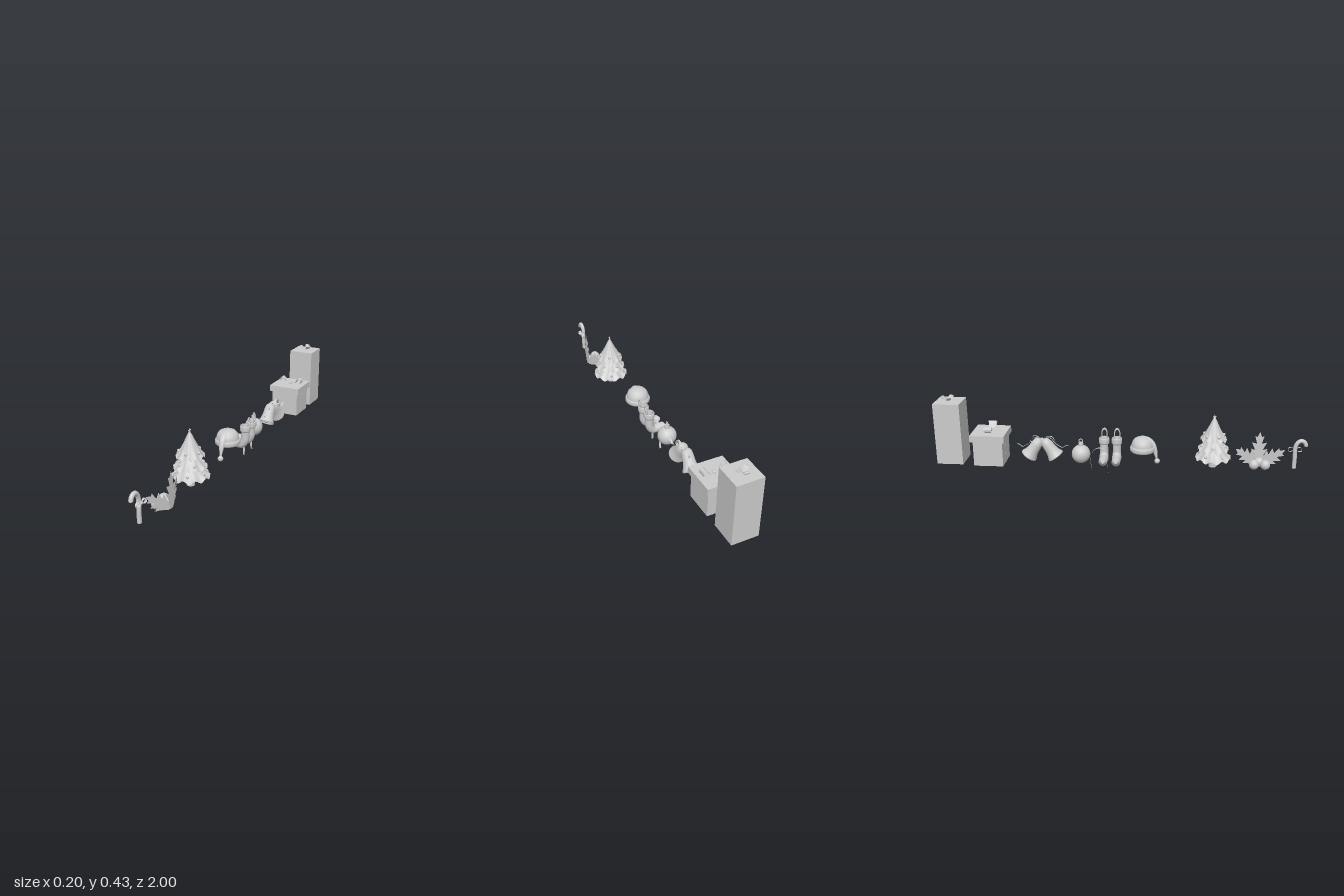
import * as THREE from 'three';

const V = (x, y, z) => new THREE.Vector3(x, y, z);
const mat = new THREE.MeshStandardMaterial({ color: 0xcccccc, side: THREE.DoubleSide });

function add(parent, name, geo, pos = [0, 0, 0], rot = [0, 0, 0]) {
  const m = new THREE.Mesh(geo, mat);
  m.name = name;
  m.position.set(...pos);
  m.rotation.set(...rot);
  parent.add(m);
  return m;
}
function group(parent, name, pos = [0, 0, 0], rot = [0, 0, 0]) {
  const g = new THREE.Group();
  g.name = name;
  g.position.set(...pos);
  g.rotation.set(...rot);
  parent.add(g);
  return g;
}
const ball = (r) => new THREE.SphereGeometry(r, 24, 16);
const box = (x, y, z) => new THREE.BoxGeometry(x, y, z);
const lathe = (pts, n = 40) => new THREE.LatheGeometry(pts.map(p => new THREE.Vector2(...p)), n);

// Round sweep along a curve whose radius follows a list of values
function loft(pts, radii, seg = 40, sides = 20) {
  const curve = new THREE.CatmullRomCurve3(pts.map(p => V(...p)));
  const geo = new THREE.TubeGeometry(curve, seg, 1, sides);
  const pos = geo.attributes.position, p = V(0, 0, 0);
  for (let i = 0; i < pos.count; i++) {
    const u = Math.floor(i / (sides + 1)) / seg;
    const k = curve.getUtoTmapping(u) * (radii.length - 1);
    const a = Math.min(Math.floor(k), radii.length - 2);
    const r = THREE.MathUtils.lerp(radii[a], radii[a + 1], k - a);
    const c = curve.getPointAt(u);
    p.fromBufferAttribute(pos, i).sub(c).multiplyScalar(r).add(c);
    pos.setXYZ(i, p.x, p.y, p.z);
  }
  return geo;
}

// Flat ribbon: a curve in the xy plane, given width along z; pinch narrows both ends
function ribbon(pts, width, pinch = 0, seg = 30) {
  const curve = new THREE.CatmullRomCurve3(pts.map(p => V(p[0], p[1], 0)));
  const geo = new THREE.PlaneGeometry(1, 1, seg, 1);
  const pos = geo.attributes.position;
  for (let i = 0; i < pos.count; i++) {
    const t = pos.getX(i) + 0.5, c = curve.getPoint(t);
    const w = width * (1 - pinch * (1 - Math.sin(Math.PI * t)));
    pos.setXYZ(i, c.x, c.y, pos.getY(i) * w);
  }
  geo.computeVertexNormals();
  return geo;
}

function candyCane(root) {
  const g = group(root, 'candyCane', [0, 0, 0.935]);
  add(g, 'caneStick', loft([[0, 0.06, 0], [0, 0.065, 0], [0, 0.12, 0], [0, 0.19, 0], [0, 0.214, 0.014],
    [0, 0.22, 0.03], [0, 0.212, 0.046], [0, 0.193, 0.054], [0, 0.188, 0.054]],
  [0, 0.011, 0.011, 0.011, 0.011, 0.011, 0.011, 0.011, 0], 60));
  for (const s of [1, -1]) {
    add(g, 'caneBowLoop', ribbon([[0, 0], [0.02, 0.013], [0.034, 0.008], [0.034, -0.008], [0.02, -0.01], [0, 0]], 0.014, 0.5),
      [0.014, 0.165, 0], [0, s * Math.PI / 2, 0]);
  }
  add(g, 'caneBowKnot', ball(0.008), [0.014, 0.165, 0]);
}

function holly(root) {
  const g = group(root, 'holly', [0, 0, 0.75]);
  const leaf = (len, half) => {
    const right = [];
    for (let i = 0; i < 4; i++) {
      const w = half * [0.6, 1, 0.9, 0.55][i];
      right.push([w * 0.5, len * (0.06 + i * 0.19)], [w, len * (0.29 + i * 0.19)]);
    }
    const left = right.map(([x, y]) => [-x, y]).reverse();
    return new THREE.ShapeGeometry(new THREE.Shape(
      [[0, 0], ...right, [half * 0.25, len * 0.84], [0, len], [-half * 0.25, len * 0.84], ...left]
        .map(p => new THREE.Vector2(...p))));
  };
  add(g, 'middleLeaf', leaf(0.19, 0.045), [0.05, 0.06, 0], [0, Math.PI / 2, 0]);
  for (const s of [1, -1]) {
    add(g, 'sideLeaf', leaf(0.17, 0.045), [0.05, 0.065, s * 0.005], [0, Math.PI / 2 - s * 0.38, s * 0.93]);
  }
  for (const [x, y, z] of [[-0.012, 0.083, -0.03], [-0.012, 0.083, 0.03], [0.02, 0.085, 0]]) {
    add(g, 'berry', ball(0.027), [x, y, z]);
  }
}

function tree(root) {
  const g = group(root, 'tree', [0, 0, 0.5]);
  add(g, 'trunk', new THREE.CylinderGeometry(0.021, 0.021, 0.09, 20), [0, 0.107, 0]);
  // Flared tiers [bottom, top, radius] with a scalloped hem
  [[0.114, 0.215, 0.096], [0.163, 0.265, 0.083], [0.218, 0.345, 0.071]].forEach(([y0, y1, r], n) => {
    const h = y1 - y0;
    const geo = lathe([[r, y0], [r * 0.82, y0 + h * 0.13], [r * 0.62, y0 + h * 0.32], [r * 0.4, y0 + h * 0.56],
      [r * 0.18, y0 + h * 0.83], [0.001, y1]], 72);
    const pos = geo.attributes.position;
    for (let i = 0; i < pos.count; i++) {
      const x = pos.getX(i), z = pos.getZ(i), f = Math.hypot(x, z) / r;
      pos.setY(i, pos.getY(i) + 0.008 * f ** 3 * Math.sin(10 * Math.atan2(z, x) + n));
    }
    geo.computeVertexNormals();
    add(g, 'branchTier', geo);
    for (let i = 0; i < 5; i++) {
      const a = i * Math.PI * 0.4 + n * 0.7;
      add(g, 'bauble', ball(0.0085), [Math.cos(a) * r * 0.76, y0 + h * 0.2, Math.sin(a) * r * 0.76]);
    }
  });
  // Five-pointed treetop star
  const star = new THREE.Shape(Array.from({ length: 10 }, (_, i) => {
    const a = Math.PI / 2 + i * Math.PI / 5, r = i % 2 ? 0.005 : 0.012;
    return new THREE.Vector2(Math.cos(a) * r, Math.sin(a) * r);
  }));
  add(g, 'star', new THREE.ExtrudeGeometry(star, { depth: 0.004, bevelEnabled: false }), [-0.002, 0.345, 0], [0, Math.PI / 2, 0]);
}

function hat(root) {
  const g = group(root, 'hat', [0, 0, 0.12]);
  add(g, 'hatCrown', lathe([[0.06, 0.16], [0.06, 0.178], [0.054, 0.197], [0.042, 0.211], [0.024, 0.219], [0.001, 0.222]]));
  add(g, 'hatTail', loft([[0, 0.19, -0.01], [0, 0.192, 0.025], [0, 0.177, 0.048], [0, 0.145, 0.066], [0, 0.095, 0.078]],
    [0.03, 0.028, 0.022, 0.014, 0.005]));
  add(g, 'hatBrim', lathe([[0.054, 0.14], [0.063, 0.14], [0.068, 0.147], [0.068, 0.162], [0.063, 0.17], [0.054, 0.17], [0.054, 0.14]]));
  add(g, 'pompon', ball(0.015), [0, 0.083, 0.08]);
}

function stocking(root, z) {
  const g = group(root, 'stocking', [0, 0, z]);
  add(g, 'boot', loft([[0.032, 0.19, 0], [0.032, 0.15, 0], [0.029, 0.112, 0], [0.012, 0.09, 0],
    [-0.022, 0.087, 0], [-0.05, 0.087, 0], [-0.071, 0.085, 0]], [0.022, 0.022, 0.023, 0.026, 0.023, 0.024, 0]));
  add(g, 'cuff', lathe([[0.019, 0.165], [0.026, 0.165], [0.029, 0.172], [0.029, 0.194], [0.026, 0.2], [0.019, 0.2], [0.019, 0.165]]), [0.032, 0, 0]);
  add(g, 'hangingLoop', new THREE.TorusGeometry(0.015, 0.003, 8, 28), [0.053, 0.213, 0], [0, Math.PI / 2, 0]).scale.set(1, 2, 1);
}

function ornament(root) {
  const g = group(root, 'ornament', [-0.012, 0, -0.215]);
  add(g, 'ornamentBall', ball(0.051), [0, 0.118, 0]);
  add(g, 'ornamentCap', new THREE.CylinderGeometry(0.013, 0.015, 0.02, 20), [0, 0.174, 0]);
  add(g, 'ornamentRing', new THREE.TorusGeometry(0.01, 0.0025, 8, 24), [0, 0.193, 0], [0, Math.PI / 2, 0]);
  // Hanging ribbon tails beside the ball; local +x runs towards -z
  const tails = group(root, 'ornamentRibbon', [0, 0, 0], [0, Math.PI / 2, 0]);
  add(tails, 'ribbonTail', ribbon([[0.068, 0.001], [0.07, 0.05], [0.067, 0.1], [0.085, 0.142], [0.11, 0.15]], 0.011));
  add(tails, 'ribbonTail', ribbon([[0.165, 0.001], [0.158, 0.03], [0.166, 0.07], [0.162, 0.11], [0.135, 0.145], [0.11, 0.15]], 0.011));
}

function bells(root) {
  const g = group(root, 'bells', [0, 0, -0.43]);
  for (const s of [1, -1]) {
    const b = group(g, 'bell', [0, 0.19, s * 0.01], [-s * 0.6, 0, 0]);
    add(b, 'bellShell', lathe([[0.001, 0.002], [0.015, 0], [0.026, -0.012], [0.03, -0.035], [0.032, -0.065], [0.037, -0.09],
      [0.046, -0.11], [0.046, -0.115], [0.041, -0.113], [0.031, -0.088], [0.027, -0.05], [0.018, -0.012], [0.001, -0.008]]));
    add(b, 'clapper', ball(0.011), [0, -0.106, 0]);
    add(b, 'clapperRod', new THREE.CylinderGeometry(0.003, 0.003, 0.09, 8), [0, -0.055, 0]);
    // Bow loop and curling tail
    const bow = group(g, 'bellBow', [0.012, 0.185, 0], [0, s * Math.PI / 2, 0]);
    add(bow, 'bowLoop', ribbon([[0, 0], [0.03, 0.02], [0.055, 0.017], [0.066, -0.008], [0.045, -0.016], [0, 0]], 0.013, 0.4));
    add(bow, 'bowTail', ribbon([[0, 0], [0.04, 0.012], [0.075, -0.022], [0.11, -0.042], [0.13, -0.03], [0.143, -0.028]], 0.01));
  }
  add(g, 'bellKnot', ball(0.01), [0.012, 0.186, 0]);
}

function lidGift(root) {
  const g = group(root, 'lidGift', [-0.006, 0, -0.711]);
  add(g, 'giftBody', box(0.163, 0.16, 0.16), [0, 0.141, 0]);
  add(g, 'giftLid', box(0.187, 0.036, 0.187), [0, 0.218, 0]);
  add(g, 'bodyRibbon', box(0.164, 0.14, 0.022), [0, 0.132, 0]);
  add(g, 'bodyRibbon', box(0.022, 0.14, 0.161), [0, 0.132, 0]);
  for (const s of [0, 1]) {
    add(g, 'giftBowLoop', ribbon([[0, 0.004], [0.03, 0.008], [0.043, 0.028], [0.054, 0.038], [0.067, 0.03],
      [0.067, 0.012], [0.05, 0.004], [0, 0.004]], 0.045, 0.65), [0.006, 0.236, 0], [0, s * Math.PI, 0]);
  }
  add(g, 'giftBowKnot', ball(0.009), [0.006, 0.242, 0]);
}

function tallGift(root) {
  const g = group(root, 'tallGift', [0, 0, -0.928]);
  add(g, 'giftBox', box(0.144, 0.34, 0.144), [0, 0.23, 0]);
  for (const a of [90, 210, 330]) {
    add(g, 'bowPetal', ribbon([[0, 0.001], [0.016, 0.005], [0.032, 0.018], [0.034, 0.025], [0.022, 0.025], [0.003, 0.004]], 0.025, 0.6),
      [0, 0.4, -0.008], [0, THREE.MathUtils.degToRad(a), 0]);
  }
}

export function createModel() {
  const root = new THREE.Group();
  root.name = 'holidayDecorations';
  candyCane(root);
  holly(root);
  tree(root);
  hat(root);
  for (const z of [-0.022, -0.092]) stocking(root, z);
  ornament(root);
  bells(root);
  lidGift(root);
  tallGift(root);
  return root;
}
